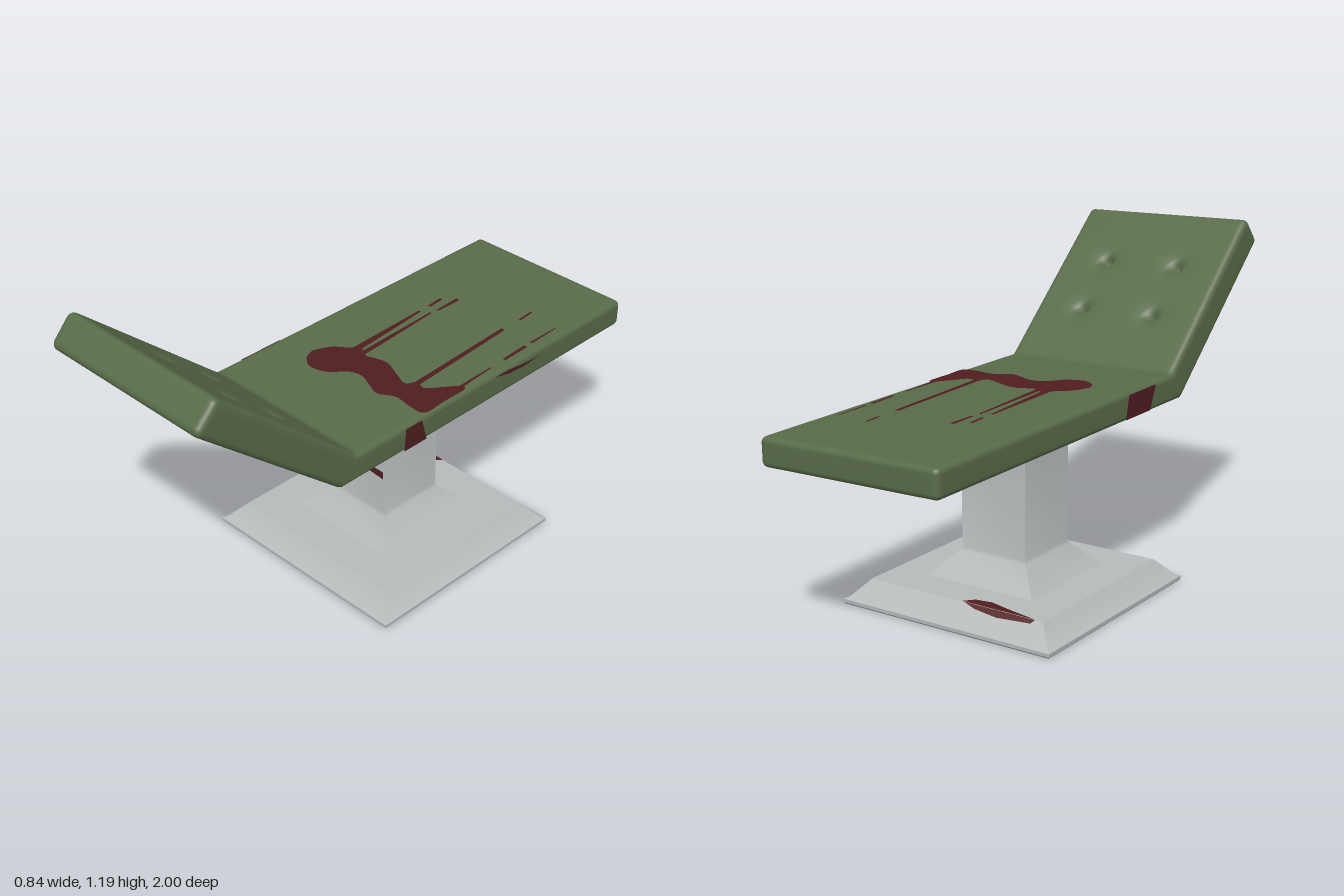
import * as THREE from 'three';
import { mergeVertices, toCreasedNormals } from 'three/addons/utils/BufferGeometryUtils.js';

const mat = (name, color, extra = {}) => {
  const m = new THREE.MeshStandardMaterial({ color, ...extra });
  m.name = name;
  return m;
};

// Padded slab: a box with rounded edges and button dimples, bent into seat and backrest
function cushionGeometry() {
  const W = 0.68, H = 0.11, L = 2.14, R = 0.022, bend = 1.4;
  const segs = [64, 7, 160], half = [W / 2, H / 2, L / 2];
  const top = [[-1, 0.72], [0.36, 0.72], [0.92, 1.2]];
  const bottom = [[-1, 0.62], [0.43, 0.62], [1.005, 1.105]];
  const buttons = [];
  for (const x of [-0.145, 0.15]) for (const l of [0.245, 0.48]) buttons.push([x, bend + l]);

  let g = new THREE.BoxGeometry(2, 2, 2, ...segs);
  g.deleteAttribute('uv');
  g.deleteAttribute('normal');
  g = mergeVertices(g);
  const pos = g.attributes.position, v = new THREE.Vector3(), inner = new THREE.Vector3();
  const along = (line, l) => {
    const k = l < bend ? 0 : 1, f = k ? (l - bend) / (L - bend) : l / bend;
    return line[k].map((a, i) => a + (line[k + 1][i] - a) * f);
  };
  for (let i = 0; i < pos.count; i++) {
    v.fromBufferAttribute(pos, i);
    // gather three rows of cells at every edge
    for (let a = 0; a < 3; a++) {
      const n = segs[a], h = half[a], k = Math.round((v.getComponent(a) + 1) / 2 * n);
      let p;
      if (k <= 3) p = -h + R * k / 3;
      else if (k >= n - 3) p = h - R * (n - k) / 3;
      else p = -h + R + (2 * h - 2 * R) * (k - 3) / (n - 6);
      v.setComponent(a, p);
      inner.setComponent(a, THREE.MathUtils.clamp(p, -h + R, h - R));
    }
    v.sub(inner).setLength(R).add(inner);
    const l = v.z + L / 2;
    if (v.y > H / 2 - 0.002) {
      for (const [bx, bl] of buttons) {
        const d = Math.hypot(v.x - bx, l - bl);
        v.y -= 0.035 * Math.exp(-((d / 0.018) ** 2)) + 0.008 * Math.exp(-((d / 0.055) ** 2));
      }
    }
    const t = v.y / H + 0.5, a = along(bottom, l), b = along(top, l);
    pos.setXYZ(i, v.x, a[1] + (b[1] - a[1]) * t, a[0] + (b[0] - a[0]) * t);
  }
  g.computeVertexNormals();
  return g;
}

export function createModel() {
  const model = new THREE.Group();
  model.name = 'examinationTable';
  const green = mat('greenPadding', 0x586b48);
  const grey = mat('greyMetal', 0xb6baba);
  const red = mat('darkRedStain', 0x501d20, { side: THREE.DoubleSide });

  // Square pedestal: stepped foot and column
  const s = Math.SQRT2;
  const profile = [[0, 0], [0.415, 0], [0.42, 0.006], [0.42, 0.018], [0.405, 0.025], [0.36, 0.073],
    [0.35, 0.085], [0.215, 0.085], [0.135, 0.168], [0.13, 0.18], [0.13, 0.66]];
  const lathe = new THREE.LatheGeometry(profile.map(([r, y]) => new THREE.Vector2(r * s, y)), 4, Math.PI / 4);
  const pedestal = new THREE.Mesh(toCreasedNormals(lathe, 0.6), grey);
  pedestal.name = 'pedestal';
  pedestal.position.z = -0.12;
  model.add(pedestal);

  // Cushion, sitting slightly askew
  const bed = new THREE.Group();
  bed.name = 'bed';
  bed.position.x = -0.007;
  bed.rotation.set(0, 0.008, -0.014);
  const cushion = new THREE.Mesh(cushionGeometry(), green);
  cushion.name = 'cushion';
  bed.add(cushion);
  model.add(bed);

  // Flat stain from an outline, placed by position and rotation
  const stain = (parent, name, pts, position, rotation = [0, 0, 0], smooth = false) => {
    const p = pts.map(([x, y]) => new THREE.Vector2(x, y));
    const shape = new THREE.Shape();
    if (smooth) shape.moveTo(p[0].x, p[0].y).splineThru(p.slice(1).concat(p[0]));
    else shape.setFromPoints(p);
    const mesh = new THREE.Mesh(new THREE.ShapeGeometry(shape, 4), red);
    mesh.name = name;
    mesh.position.set(...position);
    mesh.rotation.set(...rotation);
    parent.add(mesh);
  };
  const up = [-Math.PI / 2, 0, 0], down = [Math.PI / 2, 0, 0];

  // Pool across the seat
  const pool = [[-0.2, 0.04], [-0.175, -0.02], [-0.13, -0.06], [-0.09, -0.09], [-0.05, -0.07], [0.03, -0.09],
    [0.11, -0.06], [0.165, -0.04], [0.19, -0.075], [0.23, -0.065], [0.27, -0.115], [0.31, -0.165],
    [0.33, -0.15], [0.33, -0.05], [0.33, 0.04], [0.27, 0.048], [0.2, 0.04], [0.14, 0.07], [0.085, 0.05],
    [0.03, 0.03], [-0.02, 0.045], [-0.065, 0.095], [-0.13, 0.115], [-0.18, 0.085]];
  stain(bed, 'seatPool', pool.map(([x, z]) => [x, -z]), [0, 0.722, 0], up, true);

  // Runs towards the foot end: x, z start, x, z end, widths
  const runs = [[-0.125, -0.54, -0.12, -0.47, 0.012, 0.012], [-0.12, -0.42, -0.1, -0.06, 0.01, 0.03],
    [-0.08, -0.58, -0.079, -0.47, 0.016, 0.01], [-0.085, -0.44, -0.065, -0.06, 0.008, 0.022],
    [0.165, -0.7, 0.17, -0.63, 0.008, 0.01], [0.17, -0.54, 0.195, -0.04, 0.016, 0.022],
    [0.295, -0.68, 0.297, -0.54, 0.004, 0.01], [0.298, -0.51, 0.302, -0.39, 0.014, 0.012],
    [0.303, -0.32, 0.31, -0.14, 0.005, 0.014]];
  for (const [x0, z0, x1, z1, w0, w1] of runs) {
    stain(bed, 'seatRun', [[x0 - w0 / 2, -z0], [x0 + w0 / 2, -z0], [x1 + w1 / 2, -z1], [x1 - w1 / 2, -z1]],
      [0, 0.7215, 0], up);
  }

  // Drips on both sides of the seat
  const right = [0, Math.PI / 2, 0], left = [0, -Math.PI / 2, 0];
  stain(bed, 'sideDrip', [[-0.145, 0.625], [-0.04, 0.625], [-0.065, 0.71], [-0.14, 0.71]], [0.3415, 0, 0], right);
  stain(bed, 'sideSplash', [[0.3, 0.708], [0.37, 0.708], [0.44, 0.698], [0.54, 0.691], [0.45, 0.686], [0.38, 0.69]],
    [0.3415, 0, 0], right);
  stain(bed, 'sideDrip', [[0.04, 0.627], [0.2, 0.627], [0.24, 0.71], [0.06, 0.71]], [-0.3415, 0, 0], left);

  // Marks beneath the seat
  stain(bed, 'undersideSpot', [[0.26, 0.02], [0.24, -0.02], [0.18, -0.05], [0.13, -0.05], [0.15, 0], [0.21, 0.04]],
    [0, 0.618, 0], down, true);
  for (const [x, z] of [[0, 0.34], [-0.06, 0.33], [-0.14, 0.36]]) {
    stain(bed, 'undersideStreak', [[x - 0.008, z - 0.06], [x + 0.008, z - 0.06], [x + 0.01, z + 0.04], [x - 0.01, z + 0.04]],
      [0, 0.618, 0], down);
  }

  // Smear on the column and splash on the foot
  stain(model, 'columnSmear', [[-0.125, 0.346], [-0.11, 0.356], [0.122, 0.354], [0.122, 0.324], [0, 0.335], [-0.11, 0.341]],
    [0, 0, 0.012]);
  stain(model, 'footSplash', [[-0.03, 0.469], [-0.32, 0.469], [-0.2, 0.445], [-0.12, 0.425], [-0.06, 0.435]],
    [0, 0.087, 0], up);
  stain(model, 'footSplashEdge', [[0.04, 0], [0.32, 0], [0.31, -0.015], [0.18, -0.025], [0.09, -0.015]],
    [0, 0.087, -0.472], [-0.75, Math.PI, 0, 'YXZ']);
  return model;
}
